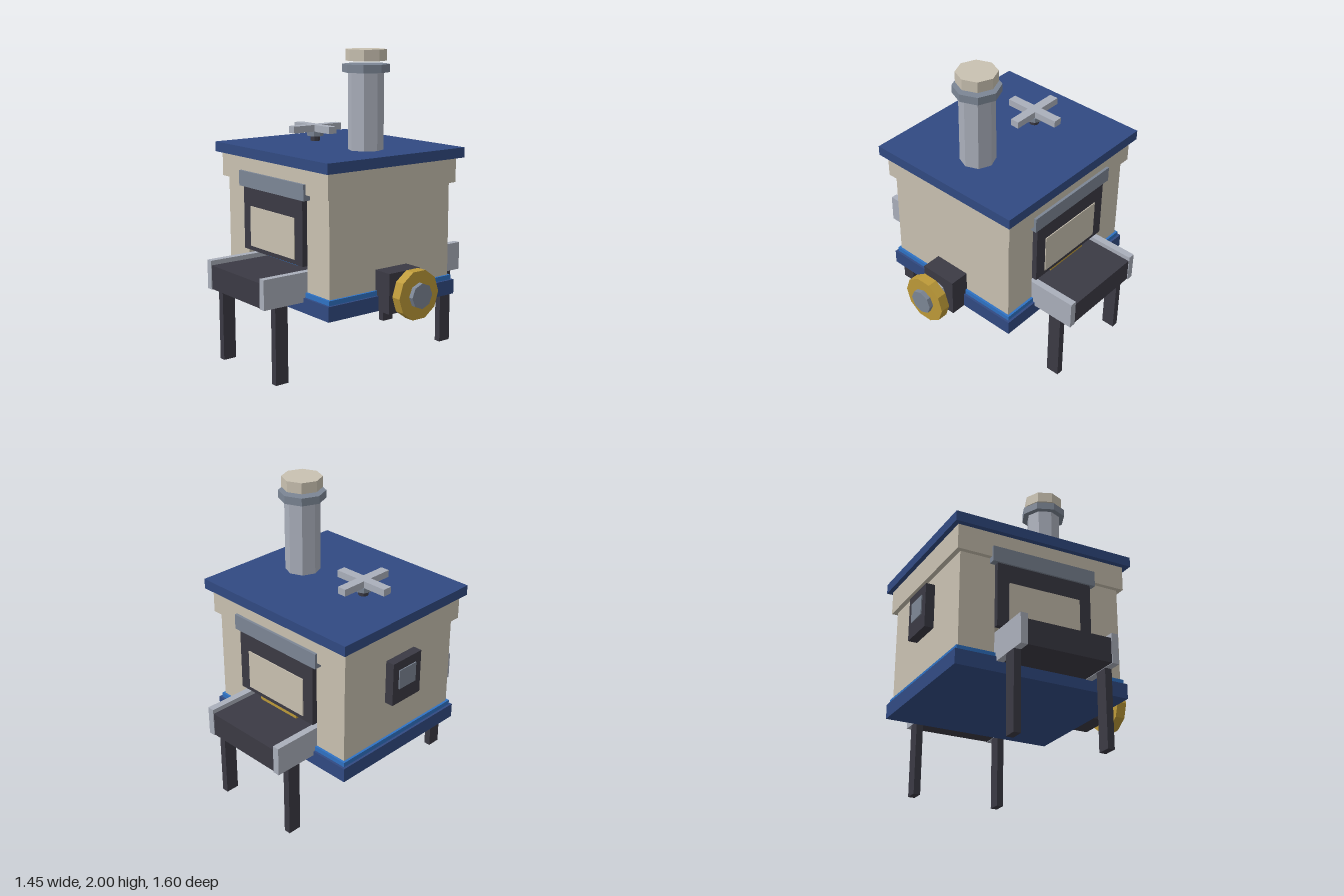
import * as THREE from 'three';

const mat = (name, color) => {
  const m = new THREE.MeshStandardMaterial({ color });
  m.name = name;
  return m;
};

export function createModel() {
  const model = new THREE.Group();
  model.name = 'furnaceMachine';

  const navy = mat('navy', 0x314a82);
  const blue = mat('brightBlue', 0x2f72c4);
  const cream = mat('cream', 0xc9c1b1);
  const dark = mat('charcoal', 0x3b3a44);
  const silver = mat('silver', 0xaaafbb);
  const slate = mat('slate', 0x7c8695);
  const gold = mat('gold', 0xbd9a38);

  const add = (name, geometry, material) => {
    const mesh = new THREE.Mesh(geometry, material);
    mesh.name = name;
    model.add(mesh);
    return mesh;
  };
  // Box given by its limits on each axis
  const box = (name, material, x0, x1, y0, y1, z0, z1) => {
    const mesh = add(name, new THREE.BoxGeometry(x1 - x0, y1 - y0, z1 - z0), material);
    mesh.position.set((x0 + x1) / 2, (y0 + y1) / 2, (z0 + z1) / 2);
    return mesh;
  };
  // Faceted upright prism
  const prism = (name, material, r, y0, y1, x, sides = 8) => {
    const g = new THREE.CylinderGeometry(r, r, y1 - y0, sides).toNonIndexed();
    g.computeVertexNormals();
    const mesh = add(name, g, material);
    mesh.position.set(x, (y0 + y1) / 2, 0);
    return mesh;
  };
  // Faceted prism along x, on the valve axis
  const axle = (name, material, r, x0, x1, sides = 8) => {
    const mesh = prism(name, material, r, x0, x1, 0, sides);
    mesh.rotation.z = -Math.PI / 2;
    mesh.position.set((x0 + x1) / 2, 0.55, 0);
  };

  // Base, trim, upper band and lid
  box('base', navy, -0.69, 0.46, 0.42, 0.515, -0.51, 0.51);
  box('baseTrim', blue, -0.675, 0.445, 0.515, 0.545, -0.495, 0.495);
  box('upperBand', cream, -0.69, 0.46, 1.155, 1.315, -0.51, 0.51);
  box('lid', navy, -0.72, 0.5, 1.315, 1.38, -0.545, 0.545);

  // Body with a tunnel for the conveyor
  const outline = new THREE.Shape([
    [-0.66, 0.545], [-0.43, 0.545], [-0.43, 0.71], [0.21, 0.71],
    [0.21, 0.545], [0.43, 0.545], [0.43, 1.155], [-0.66, 1.155],
  ].map(([x, y]) => new THREE.Vector2(x, y)));
  const body = new THREE.ExtrudeGeometry(outline, { depth: 0.96, bevelEnabled: false });
  add('body', body.translate(0, 0, -0.48), cream);

  // Conveyor running through the body
  box('conveyorBed', dark, -0.39, 0.17, 0.49, 0.645, -0.795, 0.795);
  for (const x of [-0.43, 0.165]) {
    box('conveyorRail', silver, x, x + 0.045, 0.487, 0.675, -0.8, 0.8);
    for (const z of [-0.72, 0.63]) box('leg', dark, x, x + 0.045, 0, 0.487, z, z + 0.09);
  }

  // Hatch, window and hood on both ends
  for (const s of [1, -1]) {
    const span = (a, b) => (s > 0 ? [a, b] : [-b, -a]);
    box('hatchFrame', dark, -0.43, 0.21, 0.71, 1.12, ...span(0.47, 0.515));
    box('hatchWindow', cream, -0.35, 0.13, 0.74, 1.0, ...span(0.514, 0.521));
    box('hatchHood', slate, -0.465, 0.24, 1.12, 1.22, ...span(0.47, 0.528));
  }
  // Light bars under the hatches
  box('frontLightBar', blue, -0.27, 0.05, 0.675, 0.71, 0.41, 0.44);
  box('backLightBar', gold, -0.27, 0.05, 0.675, 0.71, -0.5, -0.47);

  // Control panel on the side
  box('panel', dark, -0.72, -0.66, 0.8, 1.09, -0.125, 0.125);
  box('panelScreen', slate, -0.727, -0.719, 0.9, 1.03, -0.075, 0.075);

  // Valve with handwheel
  box('valveBox', dark, 0.43, 0.56, 0.42, 0.675, -0.125, 0.125);
  axle('valveStem', silver, 0.06, 0.56, 0.6);
  axle('valveCollar', silver, 0.08, 0.595, 0.63);
  axle('valveWheel', gold, 0.157, 0.625, 0.69, 10);
  axle('valveCap', slate, 0.08, 0.69, 0.72);

  // Chimney
  prism('chimneyPipe', silver, 0.112, 1.38, 1.86, 0.178);
  prism('chimneyCollar', slate, 0.149, 1.86, 1.91, 0.178);
  prism('chimneyCap', cream, 0.128, 1.93, 2.0, 0.178);

  // Cross handle on the lid
  prism('handleStem', dark, 0.032, 1.38, 1.415, -0.35);
  prism('handleHub', slate, 0.055, 1.413, 1.445, -0.35);
  const cross = new THREE.Shape();
  const a = 0.03, b = 0.192;
  [[a, a], [a, b], [-a, b], [-a, a], [-b, a], [-b, -a], [-a, -a], [-a, -b],
    [a, -b], [a, -a], [b, -a], [b, a]].forEach(([x, y], i) => (i ? cross.lineTo(x, y) : cross.moveTo(x, y)));
  const crossGeo = new THREE.ExtrudeGeometry(cross, { depth: 0.045, bevelEnabled: false });
  add('crossHandle', crossGeo.rotateX(-Math.PI / 2), silver).position.set(-0.35, 1.443, 0);

  return model;
}
